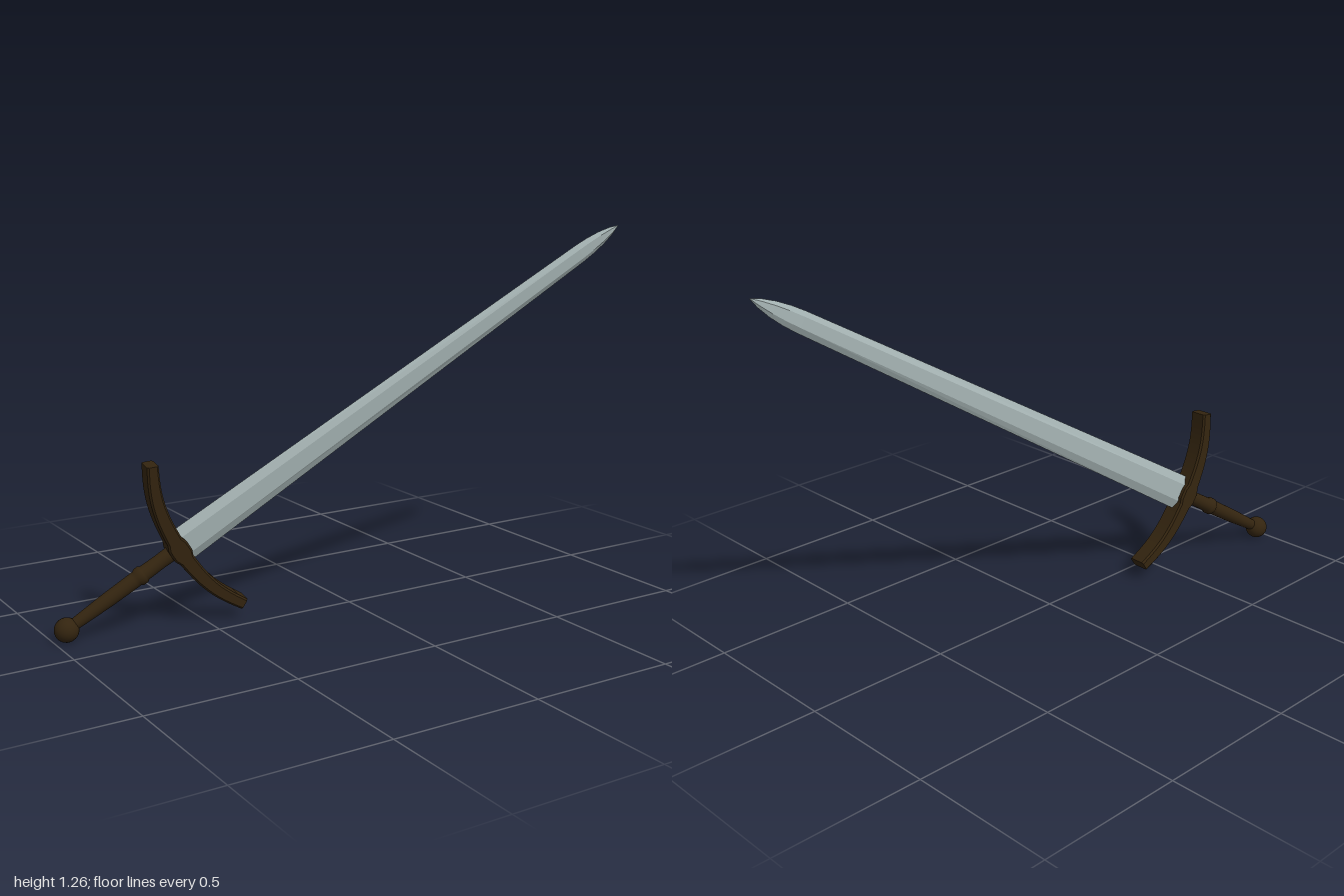
import * as THREE from 'three';

// Skin a list of closed rings (counter-clockwise about the direction of travel) and cap both ends.
function loft(rings) {
  const pos = [];
  const tri = (a, b, c) => pos.push(...a, ...b, ...c);
  const n = rings[0].length;
  for (let k = 0; k < rings.length - 1; k++) {
    for (let i = 0; i < n; i++) {
      const j = (i + 1) % n;
      const [a, b, c, d] = [rings[k][i], rings[k][j], rings[k + 1][j], rings[k + 1][i]];
      tri(a, b, c);
      tri(a, c, d);
    }
  }
  const first = rings[0], last = rings[rings.length - 1];
  for (let i = 1; i < n - 1; i++) {
    tri(first[0], first[i + 1], first[i]);
    tri(last[0], last[i], last[i + 1]);
  }
  const g = new THREE.BufferGeometry();
  g.setAttribute('position', new THREE.Float32BufferAttribute(pos, 3));
  g.computeVertexNormals();
  return g;
}

export function createModel() {
  const steel = new THREE.MeshStandardMaterial({ color: 0xa3b1b1 });
  steel.name = 'steel';
  const brown = new THREE.MeshStandardMaterial({ color: 0x33240f });
  brown.name = 'darkBrown';

  // The sword is built along +y from the pommel centre, guard along x
  const sword = new THREE.Group();
  sword.name = 'sword';
  const add = (name, geometry, material) => {
    const m = new THREE.Mesh(geometry, material);
    m.name = name;
    sword.add(m);
    return m;
  };

  // Blade: six-sided section, tapering to a rounded point [height, half width, half thickness]
  const stations = [
    [0.45, 0.063, 0.016], [2.15, 0.035, 0.012], [2.2, 0.032, 0.011],
    [2.25, 0.025, 0.009], [2.295, 0.014, 0.006], [2.328, 0.001, 0.001],
  ];
  add('blade', loft(stations.map(([y, h, t]) => {
    const f = h * 0.5;
    return [[-f, y, t], [f, y, t], [h, y, 0], [f, y, -t], [-f, y, -t], [-h, y, 0]];
  })), steel);

  // Crossguard: a chamfered bar swept along a curve bending towards the point
  const half = [[0.07, 0.436], [0.13, 0.444], [0.19, 0.459], [0.24, 0.479], [0.297, 0.508]];
  const path = new THREE.CatmullRomCurve3([
    ...half.map(([x, y]) => new THREE.Vector3(-x, y, 0)).reverse(),
    new THREE.Vector3(0, 0.432, 0),
    ...half.map(([x, y]) => new THREE.Vector3(x, y, 0)),
  ]);
  const rings = [];
  const steps = 32;
  for (let k = 0; k <= steps; k++) {
    const p = path.getPointAt(k / steps), d = path.getTangentAt(k / steps);
    const q = Math.abs(p.x) / 0.297;
    const t = 0.019 + 0.008 * (1 - q) + (q < 0.12 ? 0.007 : 0);
    const w = 0.035, c = 0.006;
    const section = [
      [t, -w + c], [t, w - c], [t - c, w], [-t + c, w],
      [-t, w - c], [-t, -w + c], [-t + c, -w], [t - c, -w],
    ];
    rings.push(section.map(([a, z]) => [p.x - d.y * a, p.y + d.x * a, z]));
  }
  add('crossguard', loft(rings), brown);

  // Grip with a raised ring, and the ball pommel
  const profile = [
    [0.019, 0.02], [0.021, 0.06], [0.025, 0.16], [0.026, 0.26], [0.026, 0.272],
    [0.031, 0.278], [0.031, 0.294], [0.026, 0.3], [0.025, 0.36], [0.027, 0.43],
  ].map(([r, y]) => new THREE.Vector2(r, y));
  add('grip', new THREE.LatheGeometry(profile, 20), brown);
  add('pommel', new THREE.SphereGeometry(0.04, 24, 16), brown);

  // Lay the sword on its slant
  const along = new THREE.Vector3(1.955, 1.215, 0.35).normalize();
  const side = new THREE.Vector3(0.55, -0.834, 0.02);
  side.addScaledVector(along, -side.dot(along)).normalize();
  const face = new THREE.Vector3().crossVectors(side, along);
  sword.quaternion.setFromRotationMatrix(new THREE.Matrix4().makeBasis(side, along, face));
  sword.position.set(-0.96, 0.04, -0.157);

  const model = new THREE.Group();
  model.name = 'model';
  model.add(sword);
  return model;
}
